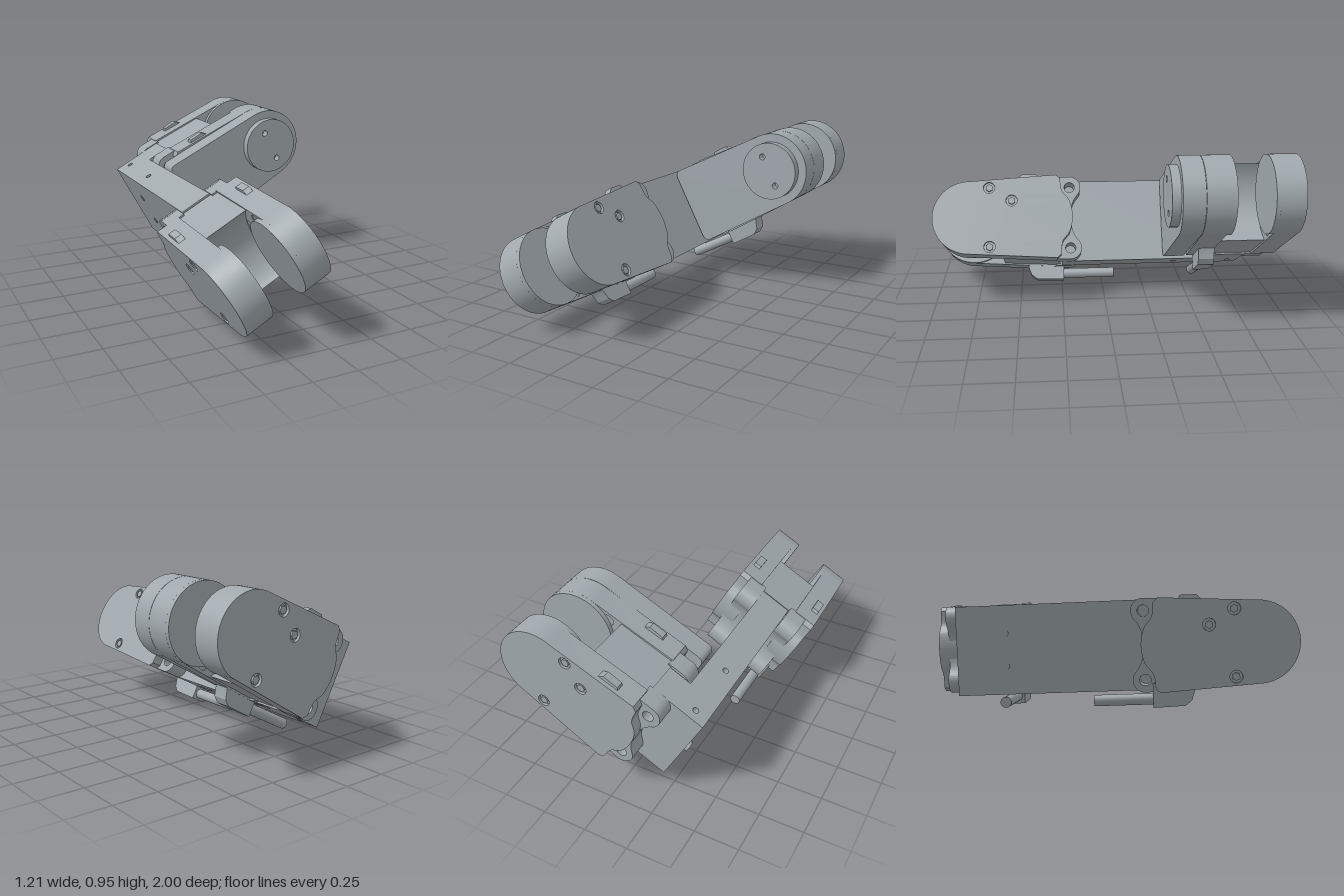
import * as THREE from 'three';
import { toCreasedNormals } from 'three/addons/utils/BufferGeometryUtils.js';

const grey = new THREE.MeshStandardMaterial({ color: 0xa0a8ad });
grey.name = 'machined grey';

function add(parent, name, geometry, x = 0, y = 0, z = 0) {
  const mesh = new THREE.Mesh(geometry, grey);
  mesh.name = name;
  mesh.position.set(x, y, z);
  parent.add(mesh);
  return mesh;
}

// Extrudes an XY shape from z0 to z1
function slab(shape, z0, z1) {
  const g = new THREE.ExtrudeGeometry(shape, { depth: z1 - z0, bevelEnabled: false, curveSegments: 24 });
  g.translate(0, 0, z0);
  return toCreasedNormals(g, 0.5);
}

// Cylinder along z from z0 to z1
function pin(r, z0, z1, sides = 20) {
  const g = new THREE.CylinderGeometry(r, r, z1 - z0, sides);
  g.rotateX(Math.PI / 2);
  g.translate(0, 0, (z0 + z1) / 2);
  return toCreasedNormals(g, 0.6);
}

function drill(shape, points, r) {
  for (const [x, y] of points) shape.holes.push(new THREE.Path().absarc(x, y, r, 0, Math.PI * 2, true));
  return shape;
}

const polygon = (points) => new THREE.Shape(points.map(([x, y]) => new THREE.Vector2(x, y)));
const R = 0.215;
const SCREWS = [[-0.115, 0.175], [-0.245, 0.097], [-0.115, -0.175]];

// Side cheek: round nose, slight taper, wavy tail
function cheekShape() {
  const s = new THREE.Shape();
  s.moveTo(0, -R);
  s.absarc(0, 0, R, -Math.PI / 2, Math.PI / 2, false);
  s.lineTo(-0.505, 0.247);
  s.lineTo(-0.53, 0.225);
  s.splineThru([[-0.54, 0.15], [-0.583, 0.09], [-0.6, 0], [-0.583, -0.09], [-0.54, -0.15], [-0.53, -0.225]]
    .map(([x, y]) => new THREE.Vector2(x, y)));
  s.lineTo(-0.505, -0.247);
  return drill(s, SCREWS, 0.033);
}

// Tail lug plate with two eyelets
function lugShape() {
  const s = new THREE.Shape();
  s.moveTo(-0.5, -0.245);
  s.lineTo(-0.5, 0.245);
  s.lineTo(-0.585, 0.247);
  s.absarc(-0.585, 0.182, 0.066, Math.PI / 2, Math.PI * 1.25, false);
  s.quadraticCurveTo(-0.59, 0.09, -0.59, 0);
  s.quadraticCurveTo(-0.59, -0.09, -0.632, -0.135);
  s.absarc(-0.585, -0.182, 0.066, Math.PI * 0.75, Math.PI * 1.5, false);
  return drill(s, [[-0.585, 0.182], [-0.585, -0.182]], 0.03);
}

// Bridge between the cheeks, hollowed around the pivot
function bridgeShape() {
  const s = new THREE.Shape();
  s.moveTo(-0.525, 0.237);
  s.lineTo(-0.183, 0.219);
  s.absarc(0, 0, 0.285, Math.PI * 0.722, Math.PI * 1.278, false);
  s.lineTo(-0.525, -0.237);
  return s;
}

// Fork: pivot at the origin, nose along +x, cheeks on either side in z
function makeFork(name) {
  const fork = new THREE.Group();
  fork.name = name;
  add(fork, 'bridge', slab(bridgeShape(), -0.126, 0.126));
  for (const side of [-1, 1]) {
    const span = (a, b) => (side > 0 ? [a, b] : [-b, -a]);
    add(fork, 'cheek', slab(cheekShape(), ...span(0.125, 0.26)));
    add(fork, 'pivotBoss', pin(R, ...span(0.1, 0.126), 48));
    add(fork, 'tailLug', slab(lugShape(), ...span(0.092, 0.2)));
    for (const [x, y] of SCREWS) {
      add(fork, 'screwSeat', pin(0.033, ...span(0.13, 0.243)), x, y);
      add(fork, 'screwHead', pin(0.022, ...span(0.24, 0.257), 6), x, y);
    }
    const clip = polygon([[-0.41, 0.22], [-0.39, 0.256], [-0.305, 0.256], [-0.27, 0.22]]);
    add(fork, 'topClip', slab(clip, ...span(0.195, 0.237)));
  }
  // Cable holder and cable below one cheek
  const holder = polygon([[-0.547, -0.328], [-0.38, -0.322], [-0.345, -0.295], [-0.32, -0.22], [-0.3, -0.2], [-0.547, -0.2]]);
  add(fork, 'cableHolder', slab(holder, 0.128, 0.218));
  const cable = new THREE.CylinderGeometry(0.03, 0.03, 0.33, 20);
  cable.rotateZ(Math.PI / 2);
  add(fork, 'cable', cable, -0.695, -0.285, 0.173);
  return fork;
}

export function createModel() {
  const model = new THREE.Group();
  model.name = 'jointedLink';
  const tilted = new THREE.Group();
  tilted.name = 'tiltedAssembly';
  tilted.rotation.z = THREE.MathUtils.degToRad(28);
  model.add(tilted);

  // Two identical forks at right angles
  const rear = makeFork('rearFork');
  rear.position.set(0.687, 0.473, -0.737);
  const front = makeFork('frontFork');
  front.position.set(-0.052, 0.473, 0.785);
  front.rotation.y = -Math.PI / 2;
  tilted.add(rear, front);

  // Cover plate and round cap on the rear fork
  const cover = new THREE.Shape();
  cover.moveTo(0, -R);
  cover.absarc(0, 0, R, -Math.PI / 2, Math.PI / 2, false);
  cover.lineTo(-0.59, 0.237);
  cover.quadraticCurveTo(-0.63, 0.237, -0.63, 0.195);
  cover.lineTo(-0.63, -0.195);
  cover.quadraticCurveTo(-0.63, -0.237, -0.59, -0.237);
  add(rear, 'coverPlate', slab(cover, 0.262, 0.382));
  const cap = new THREE.Shape().absarc(0, 0, 0.167, 0, Math.PI * 2, false);
  add(rear, 'pivotCap', slab(drill(cap, [[0, 0.093], [0, -0.093]], 0.018), 0.38, 0.43));

  // Connecting beam with a tongue into the rear fork
  const plan = polygon([[-0.14, -0.25], [0.04, -0.25], [0.04, 0.655], [0.17, 0.655], [0.17, 0.83], [-0.14, 0.83]]);
  const beam = slab(drill(plan, [[-0.062, 0.77], [-0.062, 0.435]], 0.016), 0, 0.488);
  beam.rotateX(-Math.PI / 2);
  add(tilted, 'beam', beam, 0, 0.227, 0);
  for (const y of [0.383, 0.563]) {
    const plug = new THREE.CylinderGeometry(0.02, 0.02, 0.008, 16);
    plug.rotateZ(Math.PI / 2);
    add(tilted, 'beamPlug', plug, -0.139, y, -0.56);
  }
  return model;
}
